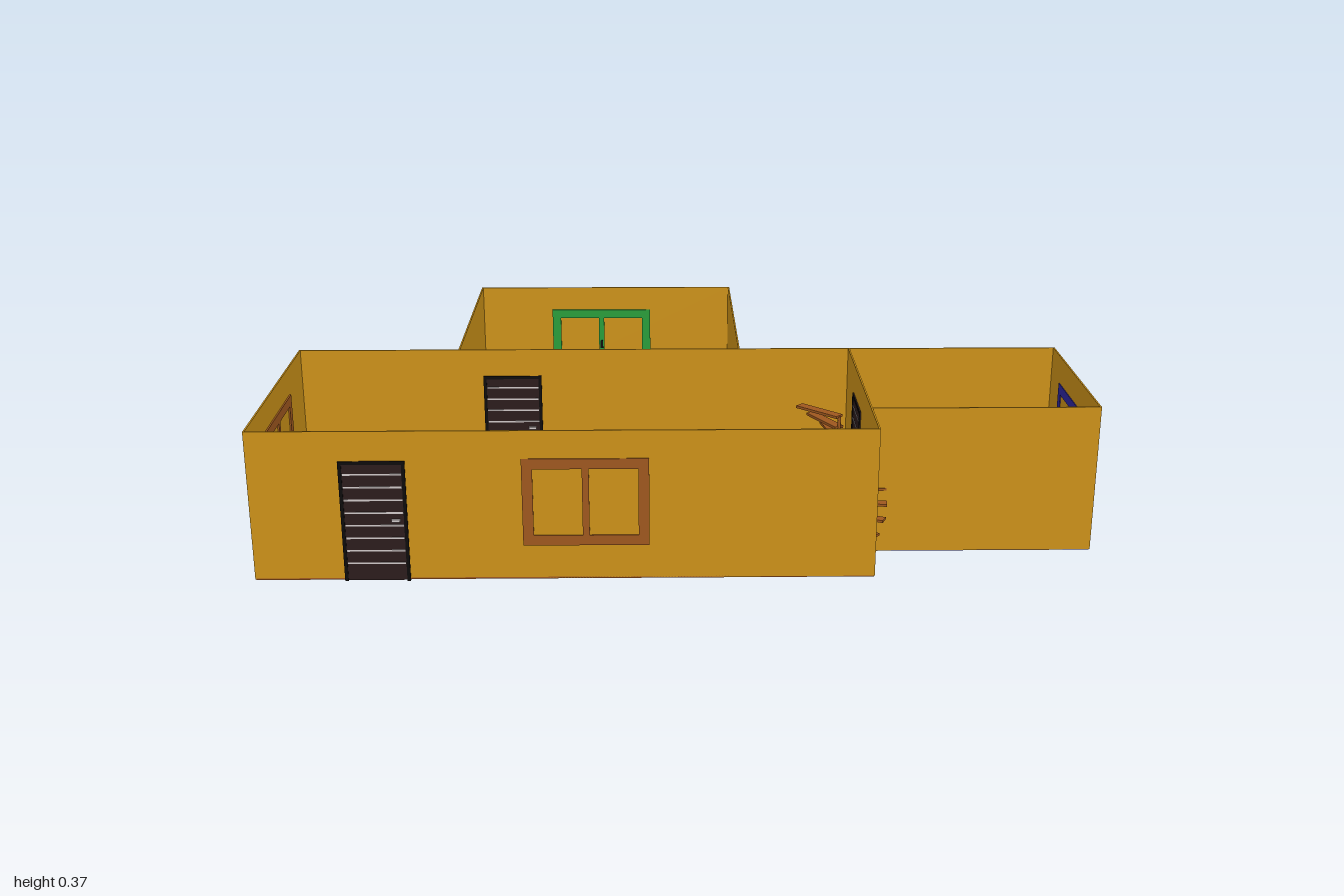
import * as THREE from 'three';

const mat = (color) => new THREE.MeshStandardMaterial({ color });
const OCHRE = mat(0xcb9118), BROWN = mat(0x9e571e), GREEN = mat(0x289c3a), BLUE = mat(0x2d249c);
const DARK = mat(0x2b1b1b), BLACK = mat(0x0c0a0a), PALE = mat(0xcfc8c8);

const FLOOR = 0.005, TOP = 0.37, T = 0.004;

// Box given by its minimum and maximum corners
function box(name, material, x0, x1, y0, y1, z0, z1) {
  const mesh = new THREE.Mesh(new THREE.BoxGeometry(x1 - x0, y1 - y0, z1 - z0), material);
  mesh.position.set((x0 + x1) / 2, (y0 + y1) / 2, (z0 + z1) / 2);
  mesh.name = name;
  return mesh;
}

function floor(name, material, x0, x1, z0, z1) {
  return box(name, material, x0, x1, FLOOR - 0.002, FLOOR + 0.002, z0, z1);
}

// Thin wall running along x or along z
const wallX = (name, x0, x1, z) => box(name, OCHRE, x0, x1, FLOOR, TOP, z - T / 2, z + T / 2);
const wallZ = (name, x, z0, z1) => box(name, OCHRE, x - T / 2, x + T / 2, FLOOR, TOP, z0, z1);

// Two-pane window frame, centred on its wall, outside facing local +z
function makeWindow(name, material, x, z, turn) {
  const w = 0.293, h = 0.214, bar = 0.025, d = 0.006;
  const shape = new THREE.Shape();
  shape.moveTo(-w / 2, -h / 2).lineTo(w / 2, -h / 2).lineTo(w / 2, h / 2).lineTo(-w / 2, h / 2).closePath();
  for (const side of [-1, 1]) {
    const a = side * 0.008, b = side * (w / 2 - bar), v = h / 2 - bar;
    const hole = new THREE.Path();
    hole.moveTo(a, -v).lineTo(b, -v).lineTo(b, v).lineTo(a, v).closePath();
    shape.holes.push(hole);
  }
  const geo = new THREE.ExtrudeGeometry(shape, { depth: 2 * d, bevelEnabled: false });
  geo.translate(0, 0, -d);
  const group = new THREE.Group();
  group.name = name;
  const frame = new THREE.Mesh(geo, material);
  frame.name = 'windowFrame';
  group.add(frame, box('windowHandle', BLACK, -0.004, 0.004, -0.012, 0.012, -d - 0.004, -d));
  group.position.set(x, 0.195, z);
  group.rotation.y = turn;
  return group;
}

// Louvred door, centred on its wall
function makeDoor(name, x, z, turn) {
  const w = 0.153, h = 0.298, d = 0.004;
  const group = new THREE.Group();
  group.name = name;
  group.add(box('doorPanel', DARK, -w / 2, w / 2, 0.002, h, -d, d));
  for (const s of [-1, 1]) {
    const cx = s * (w / 2 - 0.004);
    group.add(box('doorPost', BLACK, cx - 0.004, cx + 0.004, 0, h, -d - 0.002, d + 0.002));
  }
  group.add(box('doorLintel', BLACK, -w / 2, w / 2, h - 0.008, h, -d - 0.002, d + 0.002));
  for (let i = 0; i < 8; i++) {
    const y = 0.045 + i * 0.0315;
    group.add(box('doorSlat', PALE, -w / 2 + 0.009, w / 2 - 0.009, y - 0.002, y + 0.002, -d - 0.001, d + 0.001));
  }
  group.add(box('doorHandle', PALE, 0.04, 0.06, 0.15, 0.156, -d - 0.006, d + 0.006));
  group.position.set(x, 0, z);
  group.rotation.y = turn;
  return group;
}

// Spiral stair of narrow floating treads around a thin post
function makeStair(x, z) {
  const group = new THREE.Group();
  group.name = 'spiralStair';
  for (let i = 0; i < 13; i++) {
    const geo = new THREE.BoxGeometry(0.12, 0.006, 0.024);
    geo.translate(0.06, 0, 0);
    const tread = new THREE.Mesh(geo, BROWN);
    tread.name = 'stairTread';
    tread.position.y = 0.03 + i * 0.027;
    tread.rotation.y = -THREE.MathUtils.degToRad(79 - 18 * i);
    group.add(tread);
  }
  const post = new THREE.Mesh(new THREE.CylinderGeometry(0.004, 0.004, 0.354, 8), BROWN);
  post.name = 'stairPost';
  post.position.y = 0.177;
  group.add(post);
  group.position.set(x, 0, z);
  return group;
}

export function createModel() {
  const model = new THREE.Group();
  model.name = 'house';
  const H = Math.PI / 2;

  // Main room
  model.add(
    floor('mainFloor', BROWN, -0.994, 0.45, 0, 0.638),
    wallX('mainFrontWall', -0.996, 0.452, 0.636),
    wallX('mainBackWall', -0.996, 0.452, 0.002),
    wallZ('mainRightWall', -0.994, 0, 0.638),
    wallZ('mainLeftWall', 0.45, 0, 0.638)
  );
  // Side room
  model.add(
    floor('sideFloor', BLUE, 0.45, 0.992, 0.002, 0.49),
    wallX('sideFrontWall', 0.45, 0.994, 0.49),
    wallX('sideBackWall', 0.45, 0.994, 0.004),
    wallZ('sideOuterWall', 0.992, 0.002, 0.492)
  );
  // Rear room
  model.add(
    floor('rearFloor', GREEN, -0.576, 0.16, -0.638, 0),
    wallX('rearBackWall', -0.578, 0.162, -0.638),
    wallZ('rearRightWall', -0.576, -0.64, 0),
    wallZ('rearLeftWall', 0.16, -0.64, 0)
  );
  // Windows
  model.add(
    makeWindow('frontWindow', BROWN, -0.222, 0.635, 0),
    makeWindow('rightWindow', BROWN, -0.994, 0.31, -H),
    makeWindow('sideWindow', BLUE, 0.994, 0.244, H),
    makeWindow('rearWindow', GREEN, -0.222, -0.637, Math.PI)
  );
  // Doors
  model.add(
    makeDoor('frontDoor', -0.71, 0.635, 0),
    makeDoor('rearDoor', -0.438, 0.002, 0),
    makeDoor('sideDoor', 0.45, 0.235, H)
  );
  model.add(makeStair(0.372, 0.505));
  return model;
}
